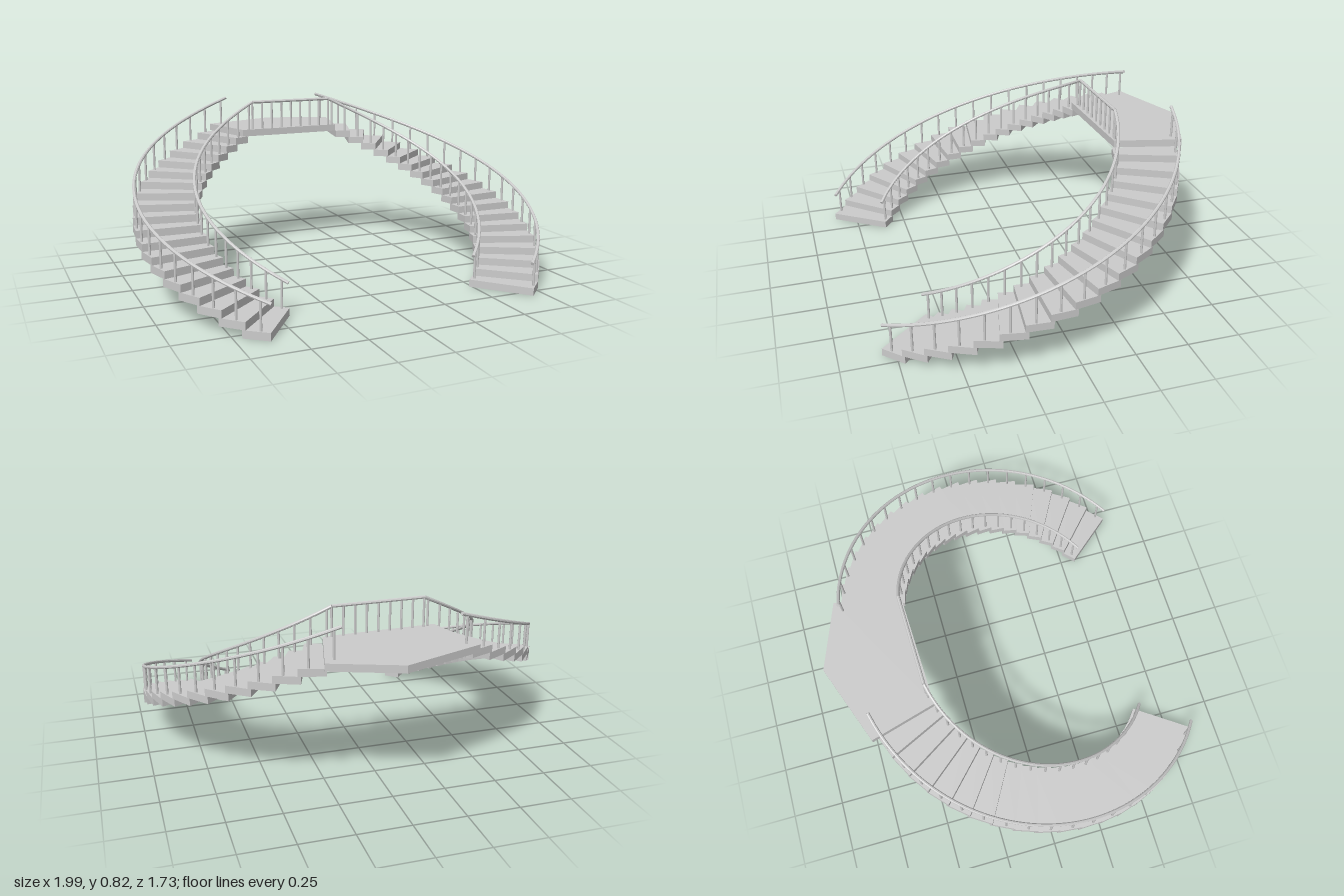
import * as THREE from 'three';

const STEPS = 18, RISE = 0.0353, GOING = 7.05, TREAD = 8; // angles in degrees
const CX = 0.115, CZ = 0.14;                              // centre of each flight's arc
const R_IN = 0.572, R_OUT = 0.88, RAIL_IN = 0.588, RAIL_OUT = 0.868;
const RAIL_Y = 0.152, RAIL_END = 132, LANDING_TOP = RISE * (STEPS + 1);

const material = new THREE.MeshStandardMaterial({ color: 0xcccccc, flatShading: true });

function addMesh(parent, geometry, name) {
  const mesh = new THREE.Mesh(geometry, material);
  mesh.name = name;
  parent.add(mesh);
  return mesh;
}

// Flat slab from [x, z] corners, resting at height y
function slab(corners, y) {
  const shape = new THREE.Shape(corners.map(([x, z]) => new THREE.Vector2(x, -z)));
  return new THREE.ExtrudeGeometry(shape, { depth: RISE, bevelEnabled: false })
    .rotateX(-Math.PI / 2).translate(0, y, 0);
}

function addBaluster(parent, x, z, bottom, top) {
  const g = new THREE.CylinderGeometry(0.006, 0.006, top - bottom, 8);
  addMesh(parent, g, 'baluster').position.set(x, (bottom + top) / 2, z);
}

function addRail(parent, points, name) {
  const curve = new THREE.CatmullRomCurve3(points);
  addMesh(parent, new THREE.TubeGeometry(curve, 72, 0.008, 8), name);
  // Closed ends
  for (const [t, sign] of [[0, -1], [1, 1]]) {
    const cap = addMesh(parent, new THREE.CircleGeometry(0.008, 8), 'railEnd');
    const p = curve.getPointAt(t);
    cap.position.copy(p);
    cap.lookAt(p.clone().addScaledVector(curve.getTangentAt(t), sign));
  }
}

// One curved flight; side is +1 (left) or -1 (right), start is the angle of its foot
function createFlight(side, start, name) {
  const flight = new THREE.Group();
  flight.name = name;
  const at = (r, turn) => {
    const a = THREE.MathUtils.degToRad(start - turn);
    return [side * (CX + r * Math.cos(a)), CZ + r * Math.sin(a)];
  };
  const railY = turn => RAIL_Y + turn * RISE / GOING;

  // Wedge-shaped treads, each lapping the next
  for (let i = 0; i < STEPS; i++) {
    const a = i * GOING, b = a + TREAD;
    addMesh(flight, slab([at(R_IN, a), at(R_OUT, a), at(R_OUT, b), at(R_IN, b)], i * RISE), 'step');
  }

  // Handrails and one baluster per step on each edge, the last on the landing
  for (const [r, railName] of [[RAIL_IN, 'innerHandrail'], [RAIL_OUT, 'outerHandrail']]) {
    const points = [];
    for (let k = 0; k <= 24; k++) {
      const turn = RAIL_END * k / 24, [x, z] = at(r, turn);
      points.push(new THREE.Vector3(x, railY(turn), z));
    }
    addRail(flight, points, railName);
    for (let i = 0; i <= STEPS; i++) {
      const turn = 3 + i * GOING, [x, z] = at(r, turn);
      addBaluster(flight, x, z, (i + 1) * RISE, railY(turn));
    }
  }
  const [ex, ez] = at(RAIL_IN, RAIL_END);
  return { flight, railEnd: new THREE.Vector3(ex, railY(RAIL_END), ez) };
}

export function createModel() {
  const model = new THREE.Group();
  model.name = 'doubleCurvedStaircase';
  const left = createFlight(1, 49.5, 'leftFlight');
  const right = createFlight(-1, 55.2, 'rightFlight');
  model.add(left.flight, right.flight);

  // Five-sided landing joining the flights
  const landing = new THREE.Group();
  landing.name = 'landing';
  model.add(landing);
  const outline = [[-0.31, -0.41], [0.23, -0.43], [0.31, -0.75], [-0.01, -0.868], [-0.4, -0.725]];
  addMesh(landing, slab(outline, LANDING_TOP - RISE), 'landingSlab');

  // Level balustrade along the landing's inner edge
  addRail(landing, [right.railEnd, left.railEnd], 'landingHandrail');
  const count = 9;
  for (let i = 0; i < count; i++) {
    const p = right.railEnd.clone().lerp(left.railEnd, i / (count - 1));
    addBaluster(landing, p.x, p.z, LANDING_TOP, p.y);
  }
  return model;
}
